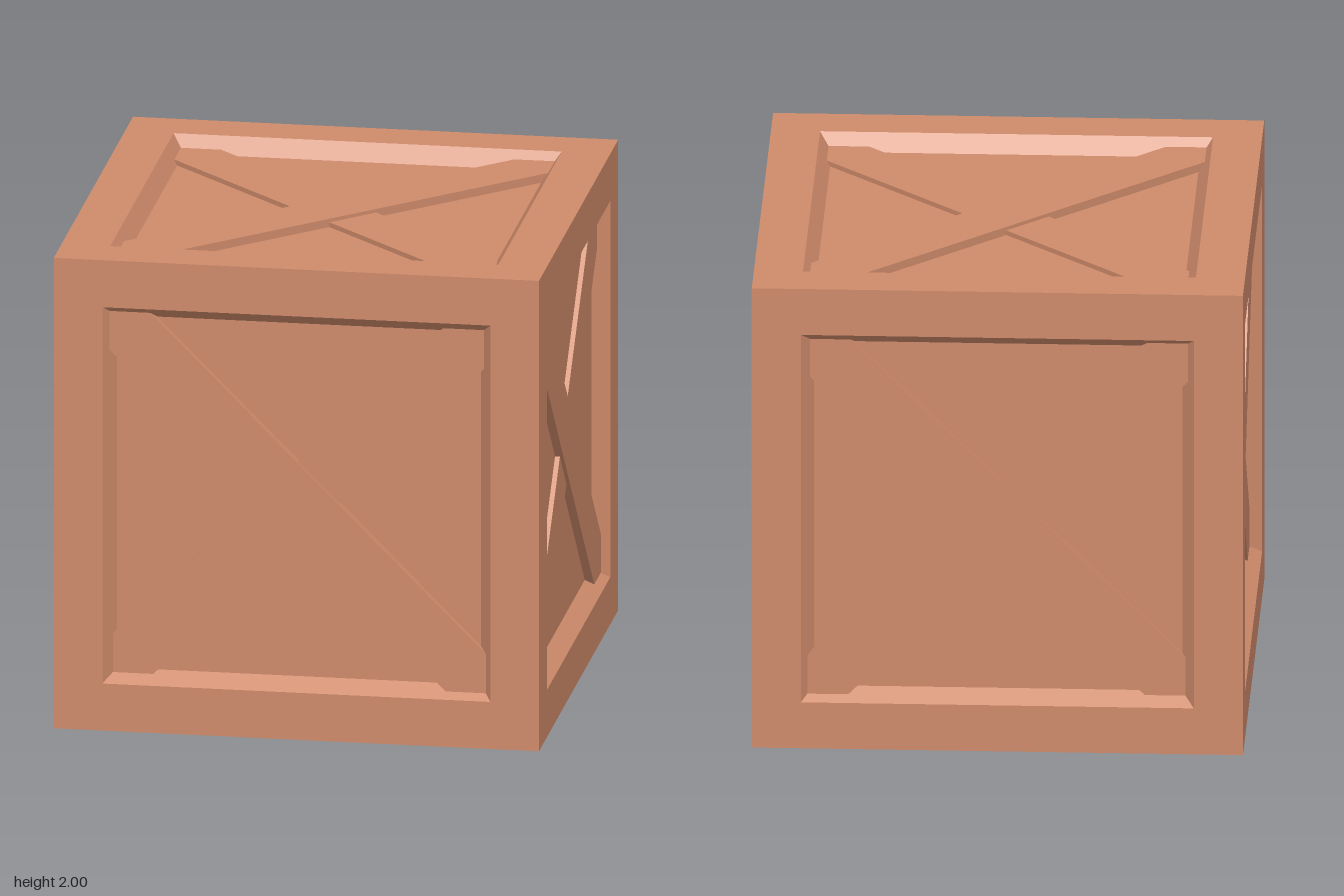
import * as THREE from 'three';

const DEPTH = 0.07;        // how far each panel is sunk below the frame
const BRACE_WIDTH = 0.235;
const BRACE_LENGTH = 2.22; // ends are buried in the frame

export function createModel() {
  const crate = new THREE.Group();
  crate.name = 'crate';
  const wood = new THREE.MeshStandardMaterial({ color: 0xce8a6a });
  wood.name = 'wood';

  // Square frame with a sloping inner lip, as a four-sided lathe facing +z
  const profile = [[1, 1], [0.8, 1], [0.75, 1 - DEPTH]]
    .map(([half, h]) => new THREE.Vector2(half * Math.SQRT2, h));
  const frameGeo = new THREE.LatheGeometry(profile, 4, Math.PI / 4).toNonIndexed();
  frameGeo.rotateX(Math.PI / 2);
  frameGeo.computeVertexNormals();

  const panelGeo = new THREE.PlaneGeometry(1.5, 1.5).translate(0, 0, 1 - DEPTH);

  // Plank lying on the panel, its outer face sunk below the frame
  const braceGeo = (sunk) => {
    const thick = DEPTH - sunk;
    return new THREE.BoxGeometry(BRACE_LENGTH, BRACE_WIDTH, thick)
      .translate(0, 0, 1 - sunk - thick / 2);
  };
  const upperGeo = braceGeo(0.035);
  const lowerGeo = braceGeo(0.05);

  // One crate side; slope gives the direction of the upper brace
  const addSide = (name, rx, ry, slope) => {
    const side = new THREE.Group();
    side.name = name;
    const add = (part, geo, angle = 0) => {
      const mesh = new THREE.Mesh(geo, wood);
      mesh.name = part;
      mesh.rotation.z = angle;
      side.add(mesh);
    };
    add('frame', frameGeo);
    add('panel', panelGeo);
    add('upperBrace', upperGeo, slope * Math.PI / 4);
    add('lowerBrace', lowerGeo, -slope * Math.PI / 4);
    side.rotation.set(rx, ry, 0);
    side.position.y = 1;
    crate.add(side);
  };

  const q = Math.PI / 2;
  addSide('frontSide', 0, 0, -1);
  addSide('leftSide', 0, q, -1);
  addSide('backSide', 0, Math.PI, 1);
  addSide('rightSide', 0, -q, 1);
  addSide('topSide', -q, 0, 1);
  addSide('bottomSide', q, 0, -1);
  return crate;
}
